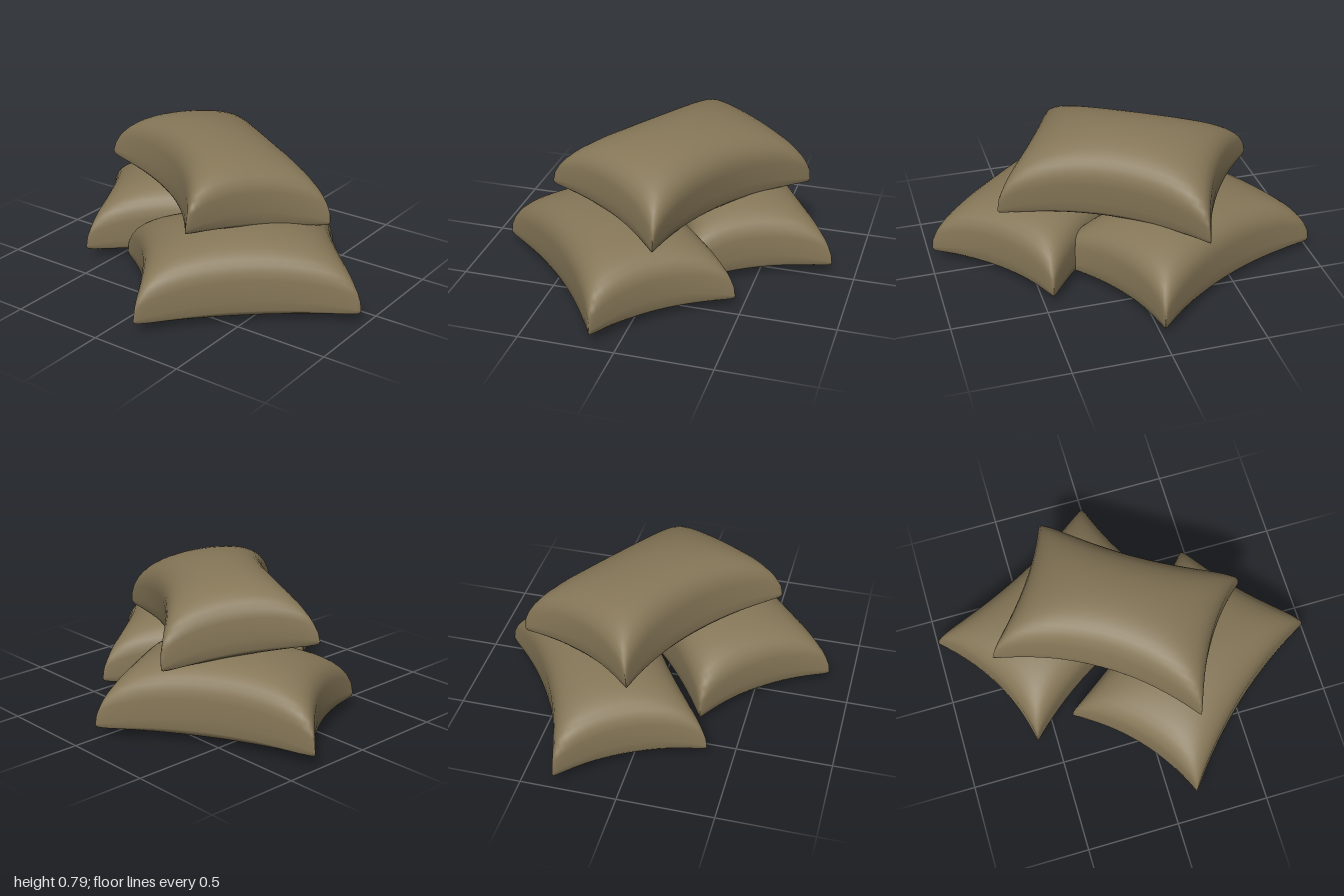
import * as THREE from 'three';
import { mergeVertices, mergeGeometries } from 'three/addons/utils/BufferGeometryUtils.js';

const HALF_LENGTH = 0.565, HALF_WIDTH = 0.4, HEIGHT = 0.425, SEGMENTS = 24;

// One stuffed sheet of a bag, spanned between the seam and the top or bottom plane.
function sheet(top, pinchLong, pinchShort) {
  const positions = [], index = [], row = SEGMENTS + 1;
  // Rows crowd towards the seam, where the cloth turns fastest.
  const spread = (i) => Math.sin((i / SEGMENTS - 0.5) * Math.PI);
  for (let j = 0; j <= SEGMENTS; j++) {
    for (let i = 0; i <= SEGMENTS; i++) {
      const u = spread(i), v = spread(j);
      const x = u * (HALF_LENGTH - pinchShort * (1 - v * v));
      const z = v * (HALF_WIDTH - pinchLong * (1 - u * u));
      const seam = 0.08 + 0.055 * (1 - u * u * v * v);
      const inside = Math.max(0, (1 - u * u) * (1 - v * v));
      const y = top
        ? seam + (HEIGHT - seam) * Math.pow(inside, 0.25)
        : seam * (1 - Math.pow(inside, 0.2));
      positions.push(x, y, z);
      if (i < SEGMENTS && j < SEGMENTS) {
        const a = j * row + i, b = a + 1, c = a + row, d = c + 1;
        if (top) index.push(a, c, b, b, c, d);
        else index.push(a, b, c, b, d, c);
      }
    }
  }
  const geometry = new THREE.BufferGeometry();
  geometry.setAttribute('position', new THREE.Float32BufferAttribute(positions, 3));
  geometry.setIndex(index);
  return geometry;
}

// Pillow-shaped bag: pinched outline, pointed corners, flat underside.
function bagGeometry(pinchLong, pinchShort) {
  const geometry = mergeVertices(mergeGeometries([
    sheet(true, pinchLong, pinchShort),
    sheet(false, pinchLong, pinchShort),
  ]), 1e-5);
  geometry.computeVertexNormals();
  return geometry;
}

export function createModel() {
  const group = new THREE.Group();
  group.name = 'sandbagPile';
  const cloth = new THREE.MeshStandardMaterial({ color: 0x857657 });
  cloth.name = 'khaki cloth';

  const up = new THREE.Vector3(0, 1, 0);
  const bags = [
    { name: 'lowerLeftBag', at: [0.3, 0, 0.205], yaw: 0.723, normal: [0, 1, 0], pinch: [0.06, 0.065] },
    { name: 'lowerRightBag', at: [-0.305, 0, -0.255], yaw: 0.507, normal: [0, 1, 0], pinch: [0.085, 0.065] },
    // The top bag leans down towards its left and back.
    { name: 'topBag', at: [-0.035, 0.365, -0.048], yaw: -0.56, normal: [0.07, 1, -0.085], pinch: [0.11, 0.055] },
  ];
  for (const { name, at, yaw, normal, pinch } of bags) {
    const bag = new THREE.Mesh(bagGeometry(...pinch), cloth);
    bag.name = name;
    bag.position.set(...at);
    const turn = new THREE.Quaternion().setFromAxisAngle(up, yaw);
    bag.quaternion
      .setFromUnitVectors(up, new THREE.Vector3(...normal).normalize())
      .multiply(turn);
    group.add(bag);
  }
  return group;
}
